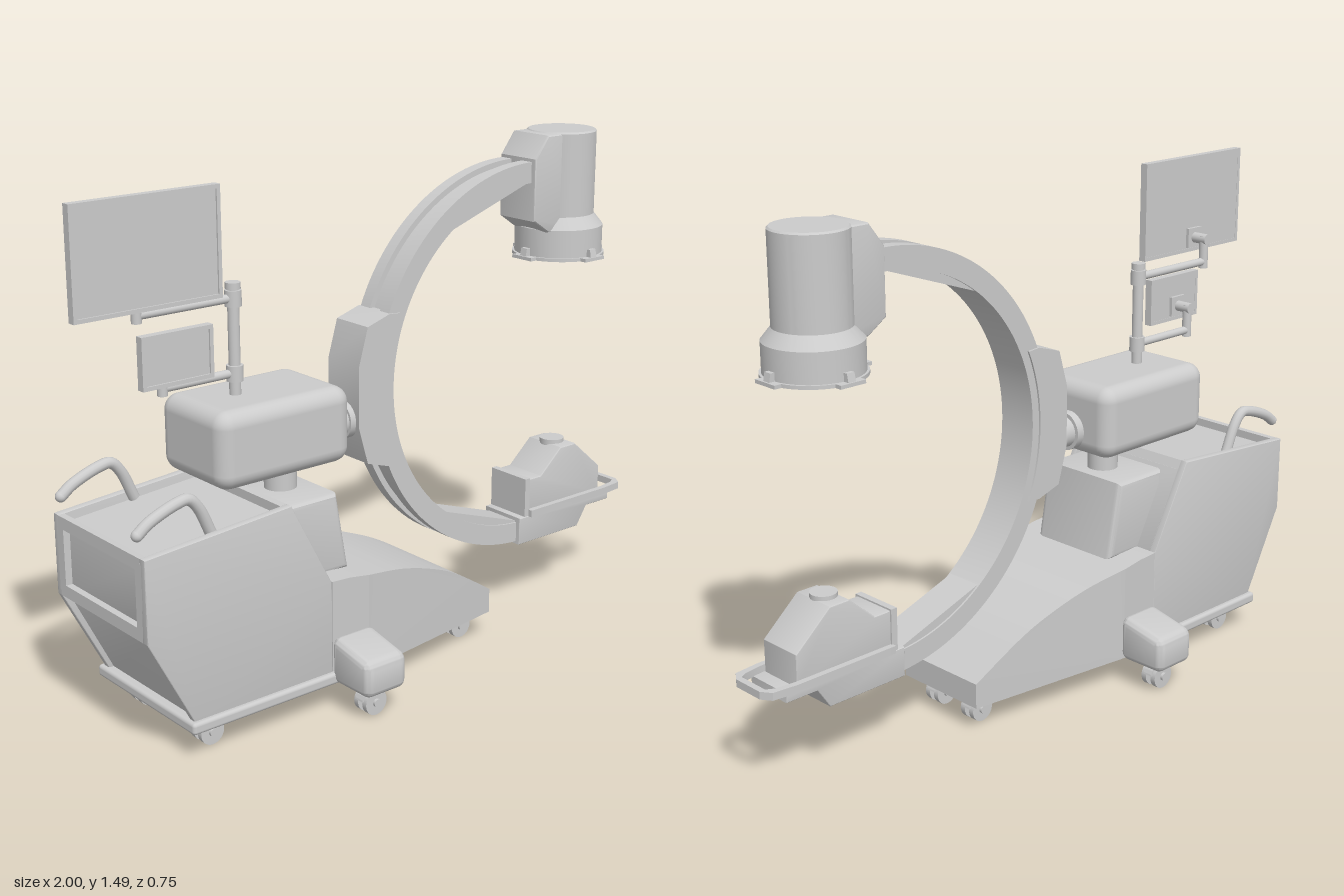
import * as THREE from 'three';
import { toCreasedNormals } from 'three/addons/utils/BufferGeometryUtils.js';
import { RoundedBoxGeometry } from 'three/addons/geometries/RoundedBoxGeometry.js';

const grey = new THREE.MeshStandardMaterial({ color: 0xcccccc });

export function createModel() {
  const model = new THREE.Group();

  const add = (name, geometry, x = 0, y = 0, z = 0, parent = model) => {
    const mesh = new THREE.Mesh(geometry, grey);
    mesh.name = name;
    mesh.position.set(x, y, z);
    parent.add(mesh);
    return mesh;
  };
  const poly = (pts) => new THREE.Shape(pts.map(([x, y]) => new THREE.Vector2(x, y)));
  // Side profile in x/y, extruded from z0 to z1; a bevel stays within the outline
  const prism = (shape, z0, z1, bevel = 0) => {
    const g = new THREE.ExtrudeGeometry(shape, {
      depth: z1 - z0 - 2 * bevel, curveSegments: 48, bevelEnabled: bevel > 0,
      bevelSize: bevel, bevelOffset: -bevel, bevelThickness: bevel, bevelSegments: 3,
    });
    g.translate(0, 0, z0 + bevel);
    return toCreasedNormals(g, 0.5);
  };
  const box = (name, w, h, d, x, y, z) => add(name, new THREE.BoxGeometry(w, h, d), x, y, z);
  const rounded = (name, w, h, d, r, x, y, z) => add(name, new RoundedBoxGeometry(w, h, d, 4, r), x, y, z);
  // Round bar between two points
  const rod = (name, a, b, r, parent = model) => {
    const p = new THREE.Vector3(...a), q = new THREE.Vector3(...b), d = q.clone().sub(p);
    const mesh = add(name, new THREE.CylinderGeometry(r, r, d.length(), 32), 0, 0, 0, parent);
    mesh.position.copy(p).add(q).multiplyScalar(0.5);
    mesh.quaternion.setFromUnitVectors(new THREE.Vector3(0, 1, 0), d.normalize());
    return mesh;
  };

  // Rear cabinet: recessed core between two taller side panels
  add('cabinetCore', prism(poly([[-0.905, 0.575], [-0.905, 0.37], [-0.77, 0.1], [-0.33, 0.1],
    [-0.33, 0.38], [-0.45, 0.61]]), -0.2, 0.2));
  const panel = poly([[-0.925, 0.6], [-0.925, 0.37], [-0.785, 0.1], [-0.33, 0.1], [-0.33, 0.38], [-0.465, 0.635]]);
  for (const s of [-1, 1]) add('cabinetSide', prism(panel, s * 0.21 - 0.012, s * 0.21 + 0.012, 0.004));
  box('rearFrameTop', 0.02, 0.035, 0.4, -0.915, 0.582, 0);
  box('rearFrameBottom', 0.02, 0.035, 0.4, -0.915, 0.387, 0);
  for (const s of [-1, 1]) box('rearFrameSide', 0.02, 0.2, 0.03, -0.915, 0.485, s * 0.19);
  add('cabinetFrontRim', prism(poly([[-0.485, 0.6], [-0.485, 0.633], [-0.465, 0.635], [-0.44, 0.59]]), -0.2, 0.2));
  rounded('bumper', 0.5, 0.034, 0.475, 0.01, -0.555, 0.097, 0);

  // Sloping front base, narrowing toward the tip
  add('baseMiddle', prism(poly([[-0.33, 0.08], [-0.2, 0.08], [-0.2, 0.368], [-0.265, 0.378], [-0.33, 0.382]]), -0.222, 0.222));
  const nose = new THREE.Shape();
  nose.moveTo(-0.2, 0.08);
  nose.lineTo(0.335, 0.08);
  nose.lineTo(0.335, 0.155);
  nose.splineThru([[0.18, 0.252], [0.07, 0.302], [-0.06, 0.343], [-0.2, 0.368]].map((p) => new THREE.Vector2(...p)));
  const noseGeo = new THREE.ExtrudeGeometry(nose, { depth: 2, bevelEnabled: false, curveSegments: 32 });
  const np = noseGeo.attributes.position;
  for (let i = 0; i < np.count; i++) {
    const half = 0.222 - 0.072 * (np.getX(i) + 0.2) / 0.535;
    np.setZ(i, (np.getZ(i) - 1) * half);
  }
  noseGeo.computeVertexNormals();
  add('baseNose', toCreasedNormals(noseGeo, 0.5));

  // Outrigger feet
  for (const s of [-1, 1]) {
    const g = new RoundedBoxGeometry(0.145, 0.14, 0.16, 5, 0.025);
    const p = g.attributes.position;
    for (let i = 0; i < p.count; i++) {
      if (p.getY(i) > 0) p.setY(i, p.getY(i) - 0.035 * (p.getZ(i) * s + 0.08) / 0.16);
    }
    g.computeVertexNormals();
    add('outriggerFoot', toCreasedNormals(g, 0.6), -0.26, 0.15, s * 0.295);
  }

  // Twin-wheel casters
  const caster = (x, z) => {
    const c = new THREE.Group();
    c.name = 'caster';
    c.position.set(x, 0, z);
    for (const s of [-1, 1]) rod('wheel', [0, 0.037, s * 0.009], [0, 0.037, s * 0.026], 0.037, c);
    rod('axle', [0, 0.037, -0.034], [0, 0.037, 0.034], 0.012, c);
    const hood = new THREE.Shape();
    hood.absarc(0, 0.037, 0.042, 0.2, Math.PI - 0.2, false);
    add('hood', prism(hood, -0.015, 0.015), 0, 0, 0, c);
    rod('stem', [0, 0.06, 0], [0, 0.1, 0], 0.018, c);
    model.add(c);
  };
  for (const s of [-1, 1]) {
    caster(-0.705, s * 0.15);
    caster(-0.26, s * 0.3);
    caster(0.265, s * 0.075);
  }

  // Push handles
  for (const s of [-1, 1]) {
    const path = new THREE.CatmullRomCurve3([[-0.92, 0.655], [-0.885, 0.68], [-0.8, 0.712], [-0.765, 0.715],
      [-0.735, 0.685], [-0.695, 0.6]].map(([x, y]) => new THREE.Vector3(x, y, s * 0.185)));
    add('pushHandle', new THREE.TubeGeometry(path, 32, 0.016, 12));
    add('handleTip', new THREE.SphereGeometry(0.016, 16, 10), -0.92, 0.655, s * 0.185);
  }

  // Lifting column and rounded head
  add('column', prism(poly([[-0.44, 0.6], [-0.44, 0.37], [-0.21, 0.37], [-0.25, 0.6]]), -0.15, 0.15, 0.018));
  rod('columnNeck', [-0.335, 0.59, 0], [-0.335, 0.69, 0], 0.046);
  rod('neckCollar', [-0.335, 0.66, 0], [-0.335, 0.685, 0], 0.058);
  rounded('head', 0.44, 0.217, 0.295, 0.045, -0.41, 0.787, -0.002);
  rod('armPivot', [-0.2, 0.75, 0], [-0.09, 0.75, 0], 0.047);
  rod('pivotCollar', [-0.2, 0.75, 0], [-0.165, 0.75, 0], 0.058);
  rod('pivotCollar', [-0.125, 0.75, 0], [-0.1, 0.75, 0], 0.055);

  // C-shaped arm with a groove along its outer face
  const CX = 0.555, CY = 0.825;
  const ring = (r0, r1, a0, a1) => {
    const s = new THREE.Shape();
    s.absarc(CX, CY, r1, a0, a1, false);
    s.absarc(CX, CY, r0, a1, a0, true);
    return s;
  };
  const A0 = Math.PI / 2, A1 = Math.PI * 1.5;
  add('cArm', prism(ring(0.53, 0.575, A0, A1), -0.062, 0.062));
  for (const s of [-1, 1]) add('cArmRail', prism(ring(0.574, 0.592, A0, A1), s * 0.042 - 0.02, s * 0.042 + 0.02));
  // Flat webs stiffening both ends of the arm
  const web = (y, a, end) => {
    const s = new THREE.Shape();
    s.moveTo(CX + 0.02, y);
    s.absarc(CX, CY, 0.54, a, end, a > end);
    s.lineTo(CX + 0.02, CY + 0.54 * Math.sin(end));
    return s;
  };
  const wa = Math.PI - Math.asin(0.415 / 0.54);
  add('upperWeb', prism(web(1.24, wa, A0), -0.056, 0.056));
  add('lowerWeb', prism(web(0.41, 2 * Math.PI - wa, A1), -0.056, 0.056));

  // Sleeve gripping the arm
  const sleeve = new THREE.Shape();
  sleeve.moveTo(0.005, 1.05);
  sleeve.lineTo(-0.075, 1.025);
  sleeve.lineTo(-0.107, 0.915);
  sleeve.lineTo(-0.107, 0.735);
  sleeve.lineTo(-0.075, 0.625);
  sleeve.lineTo(0.005, 0.6);
  sleeve.absarc(CX, CY, 0.555, Math.PI + 0.41, Math.PI - 0.41, true);
  add('armSleeve', prism(sleeve, -0.068, 0.068));

  // Upper imaging drum with its bracket
  add('drumBracket', prism(poly([[0.56, 1.24], [0.62, 1.2], [0.74, 1.2], [0.74, 1.49], [0.61, 1.49], [0.56, 1.425]]), -0.075, 0.075, 0.008));
  const drum = [[0, 1.112], [0.14, 1.112], [0.14, 1.122], [0.133, 1.122], [0.133, 1.205], [0.105, 1.24],
    [0.105, 1.488], [0.1, 1.493], [0, 1.493]].map((p) => new THREE.Vector2(...p));
  add('drum', toCreasedNormals(new THREE.LatheGeometry(drum, 64), 0.4), 0.74);
  for (let i = 0; i < 4; i++) {
    const tab = new THREE.Group();
    tab.name = 'drumTab';
    tab.position.set(0.74, 0, 0);
    tab.rotation.y = i * Math.PI / 2;
    add('tabPlate', new THREE.BoxGeometry(0.03, 0.01, 0.08), 0.14, 1.117, 0, tab);
    add('tabFin', prism(poly([[0.13, 1.112], [0.152, 1.112], [0.145, 1.145], [0.13, 1.145]]), -0.012, 0.012), 0, 0, 0, tab);
    model.add(tab);
  }

  // Lower imaging unit
  add('lowerTray', prism(poly([[0.53, 0.225], [0.79, 0.225], [0.83, 0.285], [0.93, 0.285], [0.93, 0.312], [0.53, 0.312]]), -0.077, 0.077, 0.004));
  add('lowerHousing', prism(poly([[0.565, 0.31], [0.565, 0.43], [0.625, 0.43], [0.71, 0.505], [0.775, 0.505],
    [0.89, 0.405], [0.89, 0.31]]), -0.07, 0.07, 0.005));
  box('lowerCollar', 0.02, 0.13, 0.15, 0.563, 0.37, 0);
  rod('focusCap', [0.74, 0.49, 0], [0.74, 0.517, 0], 0.038);
  // Flat guard rail ending in a grab loop
  const outline = (d, x0) => poly([[x0, -0.088 + d], [0.9, -0.088 + d], [0.975 - d, -0.08 + d], [0.995 - d, -0.05],
    [0.995 - d, 0.05], [0.975 - d, 0.08 - d], [0.9, 0.088 - d], [x0, 0.088 - d]]);
  const guard = outline(0, 0.57);
  guard.holes.push(outline(0.018, 0.885));
  const guardGeo = prism(guard, 0, 0.022);
  guardGeo.rotateX(-Math.PI / 2);
  add('guardRail', guardGeo, 0, 0.31);

  // Monitor post with two swing arms
  rod('monitorPost', [-0.48, 0.88, 0], [-0.48, 1.2, 0], 0.016);
  for (const y of [0.955, 1.16]) rod('postCollar', [-0.48, y - 0.022, 0], [-0.48, y + 0.022, 0], 0.023);
  rod('postCap', [-0.48, 1.185, 0], [-0.48, 1.203, 0], 0.021);
  const monitor = (name, x, y, w, h, ax, ay) => {
    rod(name + 'Arm', [-0.48, ay, 0], [ax, ay, 0], 0.012);
    rod(name + 'Pivot', [ax, ay - 0.02, 0], [ax, ay + 0.08, 0], 0.014);
    rod(name + 'Mount', [ax, ay + 0.07, -0.015], [ax, ay + 0.07, 0.05], 0.016);
    box(name + 'Plate', 0.06, 0.06, 0.012, ax, ay + 0.07, 0.042);
    // Raised bezel around the screen
    const frame = poly([[-w / 2, -h / 2], [w / 2, -h / 2], [w / 2, h / 2], [-w / 2, h / 2]]);
    const u = w / 2 - 0.011, v = h / 2 - 0.011;
    frame.holes.push(poly([[-u, -v], [-u, v], [u, v], [u, -v]]));
    add(name + 'Bezel', prism(frame, 0.045, 0.069), x, y);
    box(name + 'Screen', 2 * u, 2 * v, 0.018, x, y, 0.055);
  };
  monitor('largeMonitor', -0.78, 1.333, 0.44, 0.295, -0.78, 1.16);
  monitor('smallMonitor', -0.702, 1.05, 0.218, 0.142, -0.71, 0.955);

  return model;
}
